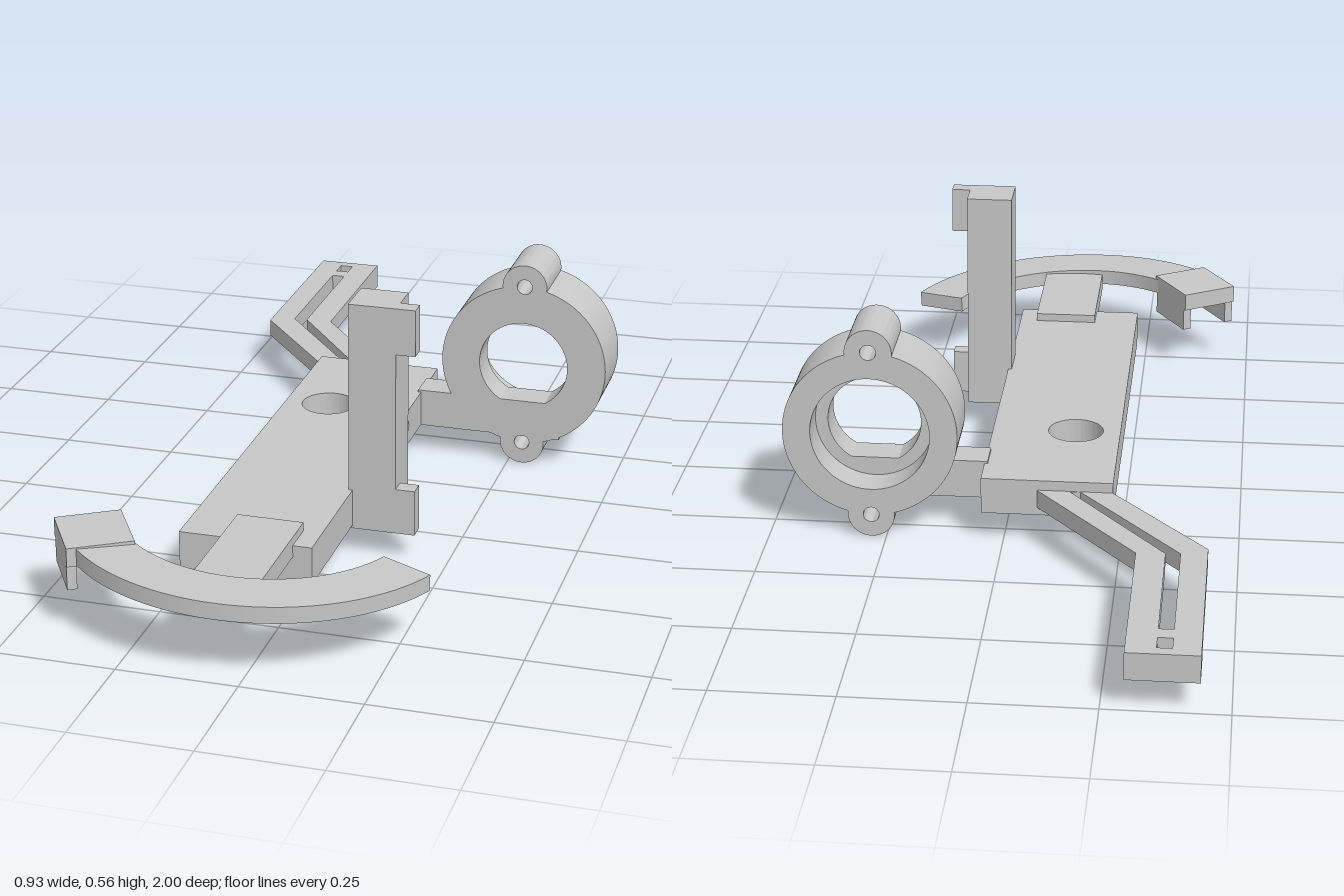
import * as THREE from 'three';
import { toCreasedNormals } from 'three/addons/utils/BufferGeometryUtils.js';

export function createModel() {
  const group = new THREE.Group();
  const grey = new THREE.MeshStandardMaterial({ color: 0xc8c8c8 });
  grey.name = 'grey plastic';

  const add = (name, geo, parent = group) => {
    const mesh = new THREE.Mesh(geo, grey);
    mesh.name = name;
    parent.add(mesh);
    return mesh;
  };
  // box from its min and max corners
  const block = (name, x0, x1, y0, y1, z0, z1, parent) => {
    const geo = new THREE.BoxGeometry(x1 - x0, y1 - y0, z1 - z0);
    geo.translate((x0 + x1) / 2, (y0 + y1) / 2, (z0 + z1) / 2);
    return add(name, geo, parent);
  };
  const extrude = (shape, depth) => toCreasedNormals(
    new THREE.ExtrudeGeometry(shape, { depth, bevelEnabled: false, curveSegments: 40 }), 0.5);
  // plan outlines are given as (x, z), reversed to run counter-clockwise, and raised from y0 to y1
  const plan = (pts, C = THREE.Shape) => new C(pts.map(([x, z]) => new THREE.Vector2(x, -z)).reverse());
  const raise = (shape, y0, y1) => extrude(shape, y1 - y0).rotateX(-Math.PI / 2).translate(0, y0, 0);
  const circle = (x, y, r) => new THREE.Path().absarc(x, y, r, 0, Math.PI * 2, true);

  // base bar with a vertical hole and a recess for the drilled side piece
  const base = plan([[-0.233, -0.31], [0.047, -0.31], [0.047, -0.075], [-0.055, -0.075],
    [-0.055, -0.005], [0.047, -0.005], [0.047, 0.673], [-0.233, 0.673]]);
  base.holes.push(circle(-0.135, 0.043, 0.06));
  add('baseBar', raise(base, 0.065, 0.145));

  // side piece drilled along x
  const side = new THREE.Shape([[0.005, 0.065], [0.075, 0.065], [0.075, 0.145], [0.005, 0.145]]
    .map(([a, b]) => new THREE.Vector2(a, b)));
  side.holes.push(circle(0.04, 0.108, 0.017));
  add('drilledSide', extrude(side, 0.102).rotateY(Math.PI / 2).translate(-0.055, 0, 0));

  // bent rear arm with slot and square hole
  const square = [[-0.385, -0.975], [-0.355, -0.975], [-0.355, -0.935], [-0.385, -0.935]];
  const arm = plan([[-0.44, -1], [-0.295, -1], [-0.295, -0.585], [-0.073, -0.312], [-0.073, -0.3],
    [-0.23, -0.3], [-0.233, -0.31], [-0.44, -0.555]]);
  arm.holes.push(plan(square, THREE.Path), plan([[-0.385, -0.9], [-0.355, -0.9], [-0.355, -0.582],
    [-0.142, -0.312], [-0.165, -0.312], [-0.385, -0.58]], THREE.Path));
  add('rearArm', raise(arm, 0.083, 0.123));
  const tip = plan([[-0.44, -1], [-0.295, -1], [-0.295, -0.9], [-0.44, -0.9]]);
  tip.holes.push(plan(square, THREE.Path));
  add('armTip', raise(tip, 0.065, 0.083));

  // ring with two screw lugs and a stepped bore
  const cx = 0.282, cy = 0.236, R = 0.186, lug = 0.05;
  const h = 2 * Math.asin(lug / (2 * R)), t = h / 2 + 0.018, P = Math.PI;
  const ring = (name, bore, z0, z1) => {
    const s = new THREE.Shape();
    s.absarc(cx, cy, R, -P / 2 + h, P / 2 - h, false);
    s.absarc(cx, cy + R, lug, -t, P + t, false);
    s.absarc(cx, cy, R, P / 2 + h, 1.5 * P - h, false);
    s.absarc(cx, cy - R, lug, P - t, 2 * P + t, false);
    s.holes.push(circle(cx, cy, bore), circle(cx, cy + R, 0.017), circle(cx, cy - R, 0.017));
    add(name, extrude(s, z1 - z0).translate(0, 0, z0));
  };
  ring('ringFront', 0.1, -0.235, -0.162);
  ring('ringBack', 0.127, -0.31, -0.235);
  block('ringBracket', 0.04, 0.367, 0.065, 0.15, -0.235, -0.162);

  // upright post with two hooks
  block('post', 0.039, 0.14, 0.058, 0.558, 0.29, 0.388);
  for (const y of [0.058, 0.458]) block('postHook', 0.135, 0.181, y, y + 0.1, 0.353, 0.388);

  // tongue carrying the tilted front arc
  block('tongue', -0.133, 0.007, 0.12, 0.163, 0.6, 0.89);
  const a0 = -0.39, a1 = -2.5;
  const arc = new THREE.Shape();
  arc.absarc(0, 0, 0.418, a0, a1, true);
  arc.absarc(0, 0, 0.303, a1, a0, false);
  const frontArc = add('frontArc', raise(arc, -0.0175, 0.0175));
  frontArc.position.set(-0.079, 0.154, 0.581);
  frontArc.rotation.z = -0.046;

  // clip at the arc's end: a plate with two legs
  const clip = new THREE.Group();
  clip.name = 'endClip';
  clip.position.set(-0.367, 0, 0.792);
  clip.rotation.y = 0.546;
  block('clipPlate', -0.068, 0.068, 0.148, 0.188, -0.075, 0.075, clip);
  for (const s of [-1, 1]) {
    block('clipLeg', s * 0.058 - 0.01, s * 0.058 + 0.01, 0.095, 0.15, -0.068, 0.068, clip);
  }
  group.add(clip);
  return group;
}
